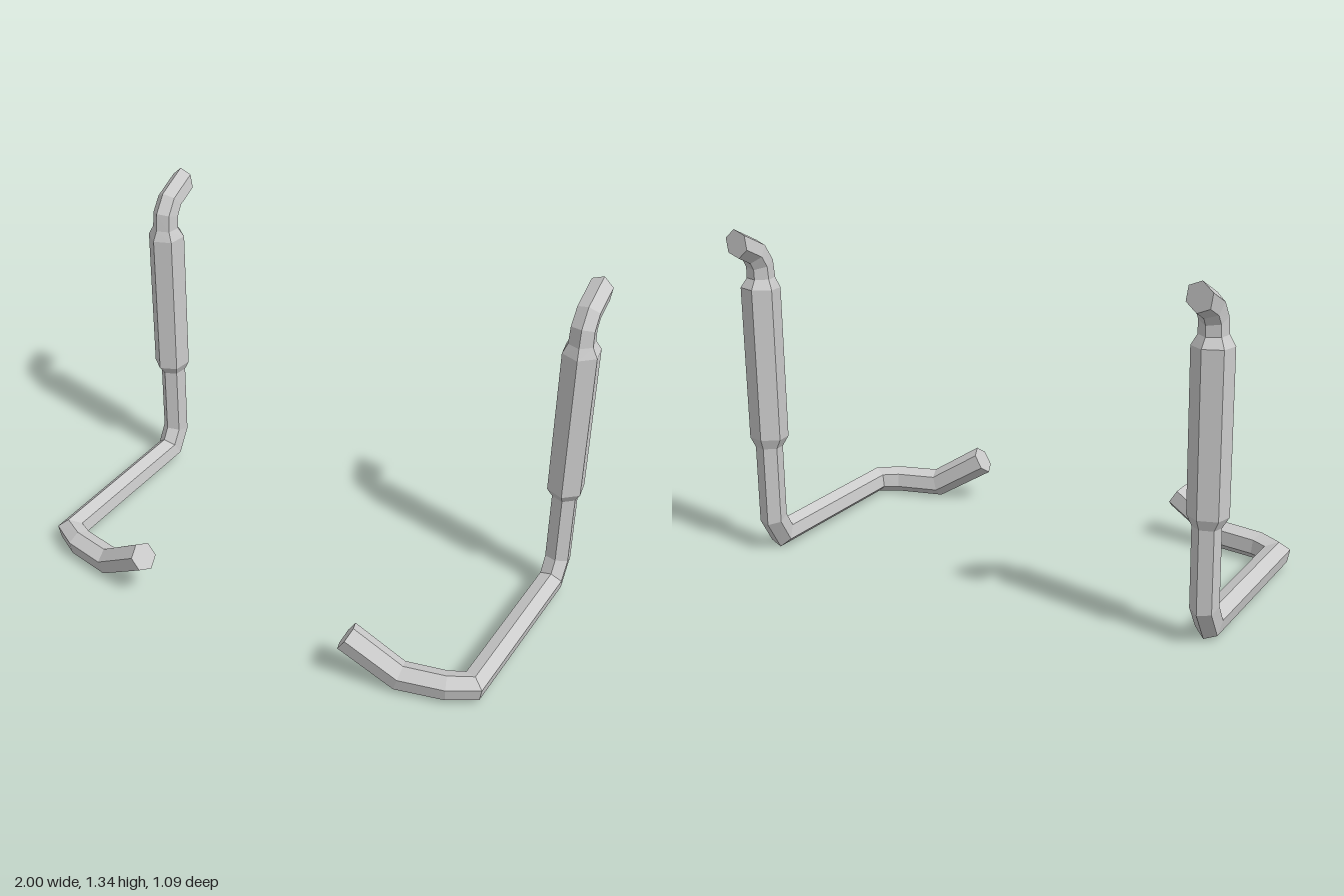
import * as THREE from 'three';

const SIDES = 6;
const TILT = -Math.PI / 18;

// Stations along one pipe, from the rear outlet down and round to the front end: x, y, z, radius
const STATIONS = [
  [0.93, 1.281, -0.552, 0.051],
  [0.93, 1.233, -0.451, 0.051],
  [0.93, 1.183, -0.417, 0.052],
  [0.93, 1.126, -0.412, 0.054],
  [0.931, 1.087, -0.416, 0.076],
  [0.931, 0.478, -0.407, 0.075],
  [0.93, 0.439, -0.412, 0.053],
  [0.93, 0.135, -0.407, 0.053],
  [0.93, 0.051, -0.354, 0.052],
  [0.93, 0.051, 0.365, 0.052],
  [0.845, 0.052, 0.415, 0.055],
  [0.67, 0.052, 0.455, 0.056],
  [0.462, 0.179, 0.49, 0.059],
];

// Named runs of stations
const PARTS = [
  ['outletPipe', 0, 3],
  ['muffler', 3, 6],
  ['lowerPipe', 6, 9],
  ['frontPipe', 9, 12],
];

// Hexagonal rings swept along the stations, mitred at every bend
function makeRings() {
  const centres = STATIONS.map(([x, y, z]) => new THREE.Vector3(x, y, z));
  const last = centres.length - 1;
  const dirs = centres.slice(1).map((c, i) => c.clone().sub(centres[i]).normalize());
  const u = new THREE.Vector3(1, 0, 0).cross(dirs[0]).normalize();
  if (u.y < 0) u.negate();
  const v = dirs[0].clone().cross(u);
  let offsets = Array.from({ length: SIDES }, (_, i) => {
    const a = (i / SIDES) * Math.PI * 2 + TILT;
    return u.clone().multiplyScalar(Math.cos(a)).addScaledVector(v, Math.sin(a));
  });
  return centres.map((c, k) => {
    const tin = dirs[Math.max(k - 1, 0)];
    const tout = dirs[Math.min(k, last - 1)];
    // the rear outlet is cut off square to the z axis
    const n = k === 0 ? new THREE.Vector3(0, 0, 1) : tin.clone().add(tout).normalize();
    const ring = offsets.map((o) => o.clone()
      .addScaledVector(tin, -o.dot(n) / tin.dot(n))
      .multiplyScalar(STATIONS[k][3]).add(c));
    const turn = new THREE.Quaternion().setFromUnitVectors(tin, tout);
    offsets = offsets.map((o) => o.clone().applyQuaternion(turn));
    return ring;
  });
}

// Skin a run of rings; side = -1 mirrors it in x
function skin(rings, from, to, side) {
  const pos = [];
  const tri = (a, b, c) => {
    for (const p of side > 0 ? [a, b, c] : [a, c, b]) pos.push(p.x * side, p.y, p.z);
  };
  for (let k = from; k < to; k++) {
    const a = rings[k], b = rings[k + 1];
    for (let i = 0; i < SIDES; i++) {
      const j = (i + 1) % SIDES;
      tri(a[i], a[j], b[j]);
      tri(a[i], b[j], b[i]);
    }
  }
  // flat caps on the two open ends of the whole pipe
  for (let i = 1; i < SIDES - 1; i++) {
    if (from === 0) tri(rings[0][0], rings[0][i + 1], rings[0][i]);
    if (to === rings.length - 1) tri(rings[to][0], rings[to][i], rings[to][i + 1]);
  }
  const g = new THREE.BufferGeometry();
  g.setAttribute('position', new THREE.Float32BufferAttribute(pos, 3));
  g.computeVertexNormals();
  return g;
}

export function createModel() {
  const model = new THREE.Group();
  model.name = 'exhaustPipes';
  const material = new THREE.MeshStandardMaterial({ color: 0xcccccc, flatShading: true });
  const rings = makeRings();
  for (const [name, side] of [['leftExhaust', 1], ['rightExhaust', -1]]) {
    const pipe = new THREE.Group();
    pipe.name = name;
    for (const [part, from, to] of PARTS) {
      const mesh = new THREE.Mesh(skin(rings, from, to, side), material);
      mesh.name = part;
      pipe.add(mesh);
    }
    model.add(pipe);
  }
  return model;
}
